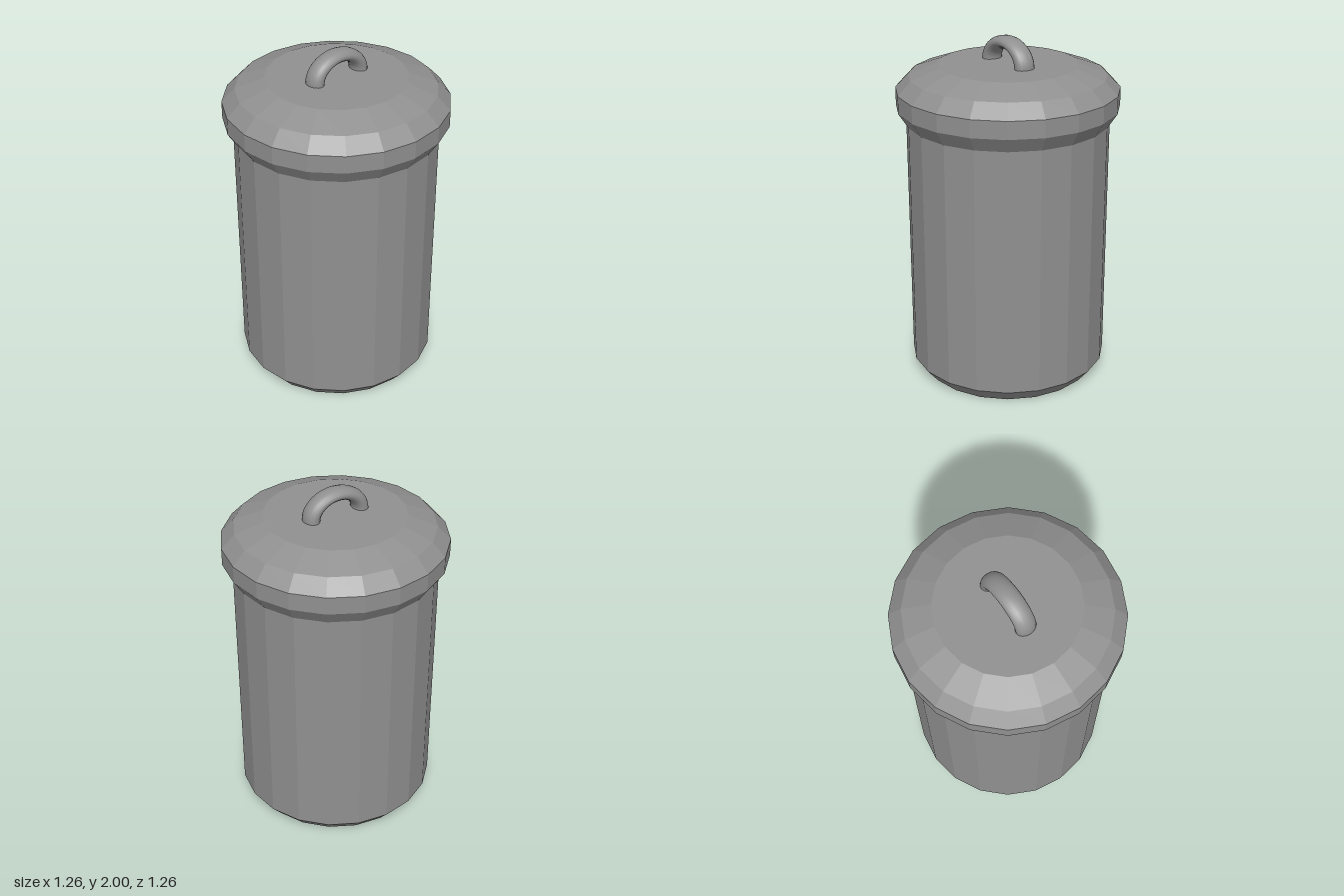
import * as THREE from 'three';

const SIDES = 20;
const GREY = 0x909090;

export function createModel() {
  const model = new THREE.Group();
  model.name = 'lidded bin';
  const faceted = new THREE.MeshStandardMaterial({ color: GREY, flatShading: true });
  const smooth = new THREE.MeshStandardMaterial({ color: GREY });

  // Turn a [radius, height] profile, listed bottom to top
  const turned = (name, profile) => {
    const points = profile.map(([r, y]) => new THREE.Vector2(r, y));
    const mesh = new THREE.Mesh(new THREE.LatheGeometry(points, SIDES), faceted);
    mesh.name = name;
    model.add(mesh);
  };

  // Straight can with a chamfered foot
  turned('body', [[0, 0], [0.51, 0], [0.575, 0.08], [0.575, 1.525]]);

  // Overhanging lid: flared skirt, upright rim, sloped crown, flat top
  turned('lid', [
    [0.575, 1.525], [0.63, 1.61], [0.63, 1.71],
    [0.556, 1.787], [0.394, 1.847], [0, 1.847],
  ]);

  // Flattened loop handle standing on the lid top
  const loop = new THREE.TorusGeometry(0.153, 0.045, 16, 32, Math.PI);
  loop.scale(1, 0.773, 1.33);
  const handle = new THREE.Mesh(loop, smooth);
  handle.name = 'handle';
  handle.position.y = 1.847;
  model.add(handle);

  return model;
}
